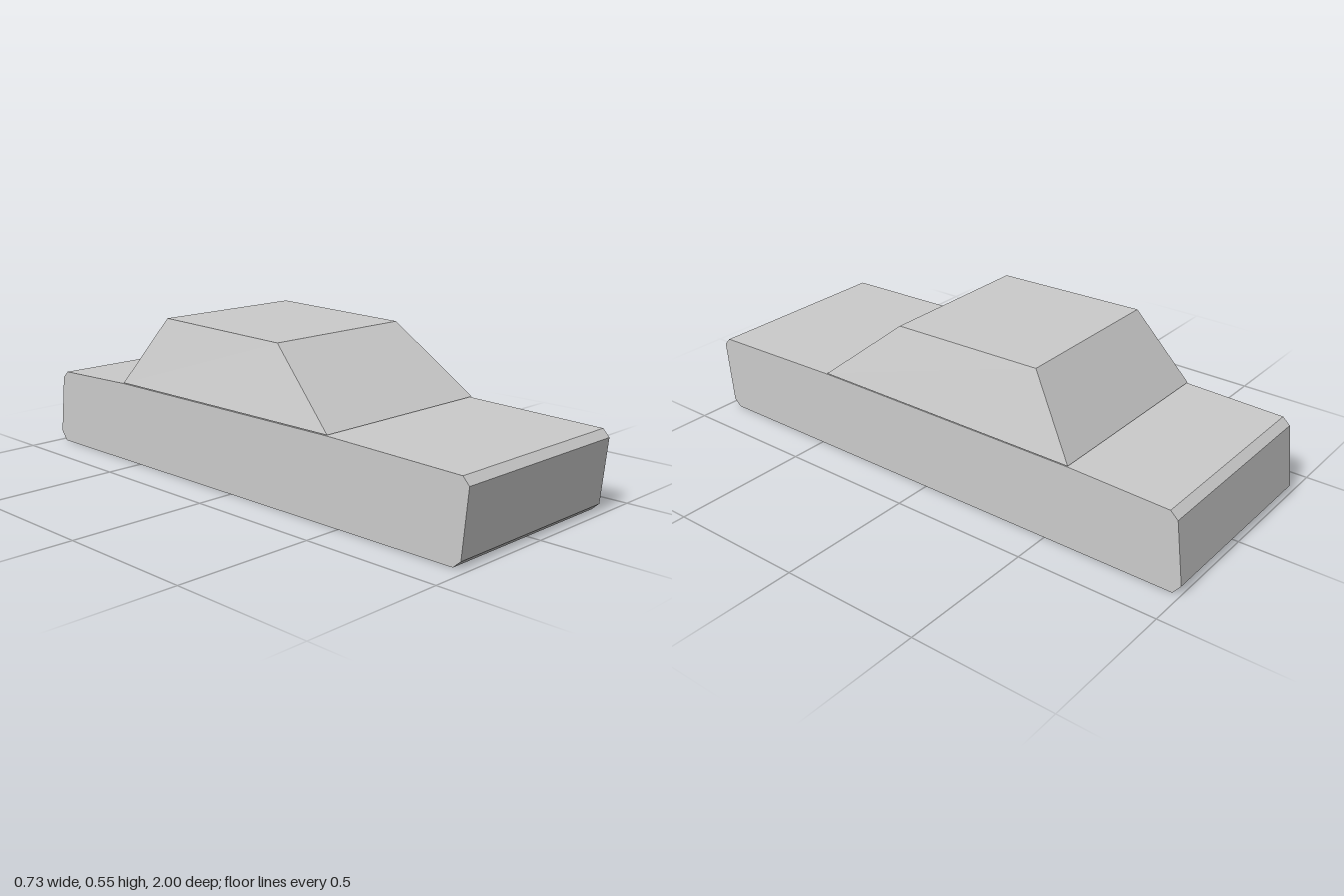
import * as THREE from 'three';

const HALF_WIDTH = 0.363;
const ROOF_HALF_WIDTH = 0.293;

// Lower body: side profile (z, y) extruded across the width
function makeBody() {
  const profile = [
    [0.95, 0], [0.978, 0.025], [1, 0.252], [0.976, 0.278], [0.45, 0.291],
    [-0.58, 0.291], [-0.945, 0.28], [-0.972, 0.255], [-1, 0.035], [-0.972, 0],
  ];
  const shape = new THREE.Shape(profile.map(([z, y]) => new THREE.Vector2(z, y)));
  const geometry = new THREE.ExtrudeGeometry(shape, { depth: 2 * HALF_WIDTH, bevelEnabled: false });
  geometry.translate(0, 0, -HALF_WIDTH);
  geometry.rotateY(-Math.PI / 2);
  return geometry;
}

// Cabin: a box whose top is drawn in on all sides, with the roof rising to the rear
function makeCabin() {
  const geometry = new THREE.BoxGeometry(2, 2, 2);
  const p = geometry.attributes.position;
  for (let i = 0; i < p.count; i++) {
    const top = p.getY(i) > 0;
    const front = p.getZ(i) > 0;
    const x = Math.sign(p.getX(i)) * (top ? ROOF_HALF_WIDTH : HALF_WIDTH);
    const y = top ? (front ? 0.533 : 0.546) : 0.294;
    const z = front ? (top ? 0.16 : 0.452) : (top ? -0.405 : -0.582);
    p.setXYZ(i, x, y, z);
  }
  geometry.computeVertexNormals();
  return geometry;
}

export function createModel() {
  const group = new THREE.Group();
  group.name = 'car';
  const material = new THREE.MeshStandardMaterial({ color: 0xcccccc, flatShading: true });
  const parts = { body: makeBody(), cabin: makeCabin() };
  for (const [name, geometry] of Object.entries(parts)) {
    const mesh = new THREE.Mesh(geometry, material);
    mesh.name = name;
    group.add(mesh);
  }
  return group;
}
